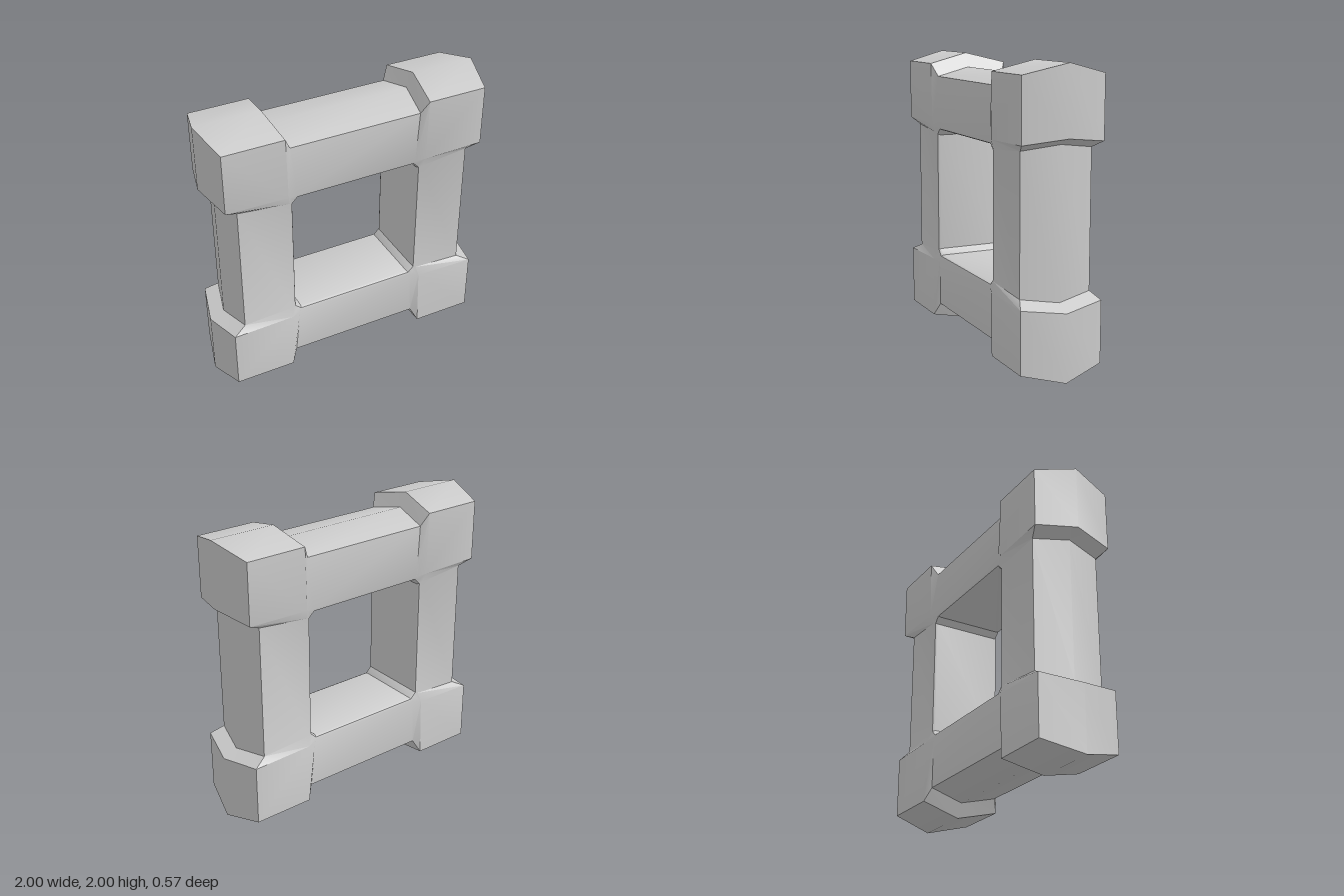
import * as THREE from 'three';
import { toCreasedNormals } from 'three/addons/utils/BufferGeometryUtils.js';

// Expands [barEnd, blockEnd, corner] points of one half corner into a full
// counter-clockwise ring: mirrored across the diagonal, then turned four times.
function makeRing([bar, block, corner]) {
  const swap = ([x, y, z]) => [y, x, z];
  const quarter = [swap(bar), swap(block), corner, block, bar];
  const ring = [];
  for (let k = 0; k < 4; k++) {
    for (const p of quarter) {
      let [x, y, z] = p;
      for (let t = 0; t < k; t++) [x, y] = [-y, x];
      ring.push(new THREE.Vector3(x, y + 1, z));
    }
  }
  return ring;
}

// Skins a closed series of closed rings, skipping collapsed triangles
function skin(rings) {
  const positions = [];
  const ab = new THREE.Vector3(), ac = new THREE.Vector3();
  const tri = (a, b, c) => {
    ab.subVectors(b, a);
    ac.subVectors(c, a);
    if (ab.cross(ac).length() < 1e-7) return;
    for (const p of [a, b, c]) positions.push(p.x, p.y, p.z);
  };
  rings.forEach((ring, r) => {
    const next = rings[(r + 1) % rings.length];
    for (let i = 0; i < ring.length; i++) {
      const j = (i + 1) % ring.length;
      tri(ring[i], ring[j], next[j]);
      tri(ring[i], next[j], next[i]);
    }
  });
  const geometry = new THREE.BufferGeometry();
  geometry.setAttribute('position', new THREE.Float32BufferAttribute(positions, 3));
  return toCreasedNormals(geometry, 0.62);
}

// A ring at the opening: its cut corner lies between (u, v) and (v, u)
function openingRing(u, v, z) {
  const m = (u + v) / 2;
  return [[u, v, z], [u, v, z], [m, m, z]];
}

export function createModel() {
  // Outer ridge in the middle plane
  const ridge = [[0.5, 0.9, 0], [0.545, 1, 0], [1, 1, 0]];

  // From the front outline inwards to the rounded rim of the opening
  const front = [
    [[0.465, 0.84, 0.25], [0.51, 0.93, 0.287], [0.93, 0.93, 0.287]],
    [[0.435, 0.485, 0.263], [0.5, 0.5, 0.285], [0.5, 0.5, 0.285]],
    openingRing(0.435, 0.485, 0.263),
    openingRing(0.427, 0.468, 0.257),
    openingRing(0.42, 0.46, 0.24),
  ];
  const back = front.map((ring) => ring.map(([x, y, z]) => [x, y, -z])).reverse();

  const material = new THREE.MeshStandardMaterial({ color: 0xcccccc });
  const frame = new THREE.Mesh(skin([ridge, ...front, ...back].map(makeRing)), material);
  frame.name = 'squareFrame';

  const group = new THREE.Group();
  group.name = 'blockCorneredFrame';
  group.add(frame);
  return group;
}
